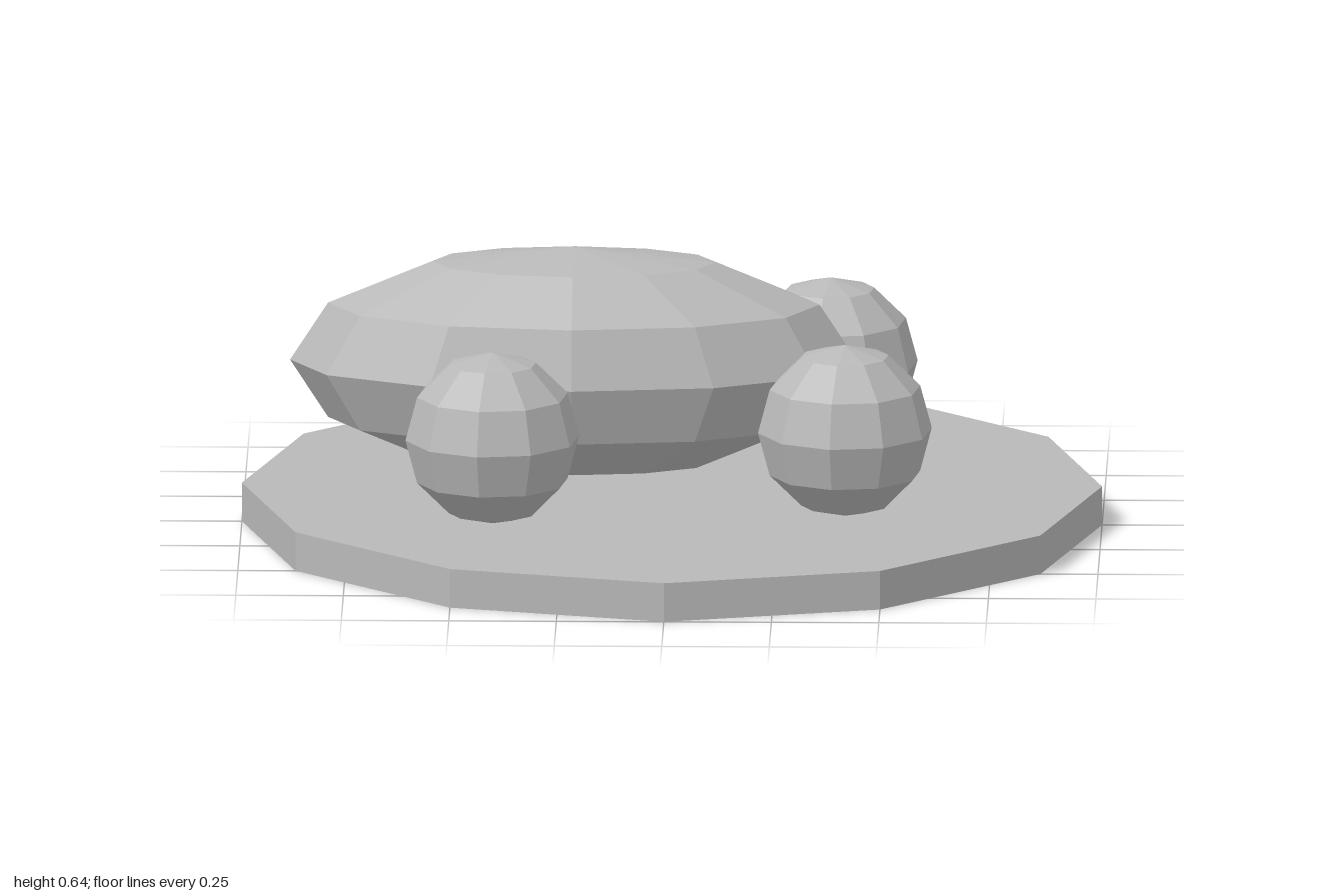
import * as THREE from 'three';

export function createModel() {
  const model = new THREE.Group();
  const stone = new THREE.MeshStandardMaterial({ color: 0xb8b8b8, flatShading: true });
  stone.name = 'grey stone';

  const add = (name, geometry, x, y, z) => {
    const mesh = new THREE.Mesh(geometry, stone);
    mesh.name = name;
    mesh.position.set(x, y, z);
    model.add(mesh);
    return mesh;
  };

  // Twelve-sided base slab
  add('base', new THREE.CylinderGeometry(1, 1, 0.092, 12), 0, 0.046, 0);

  // Long faceted boulder
  const boulder = new THREE.SphereGeometry(1, 12, 6).scale(0.66, 0.273, 0.315);
  add('boulder', boulder, -0.23, 0.365, -0.092);

  // Three round stones around it
  const pebble = new THREE.SphereGeometry(0.204, 10, 6);
  const spots = [[-0.41, 0.408], [0.408, 0.316], [0.362, -0.367]];
  spots.forEach(([x, z], i) => {
    add(`roundStone${i + 1}`, pebble, x, 0.298, z).rotation.y = Math.PI / 20;
  });

  return model;
}
